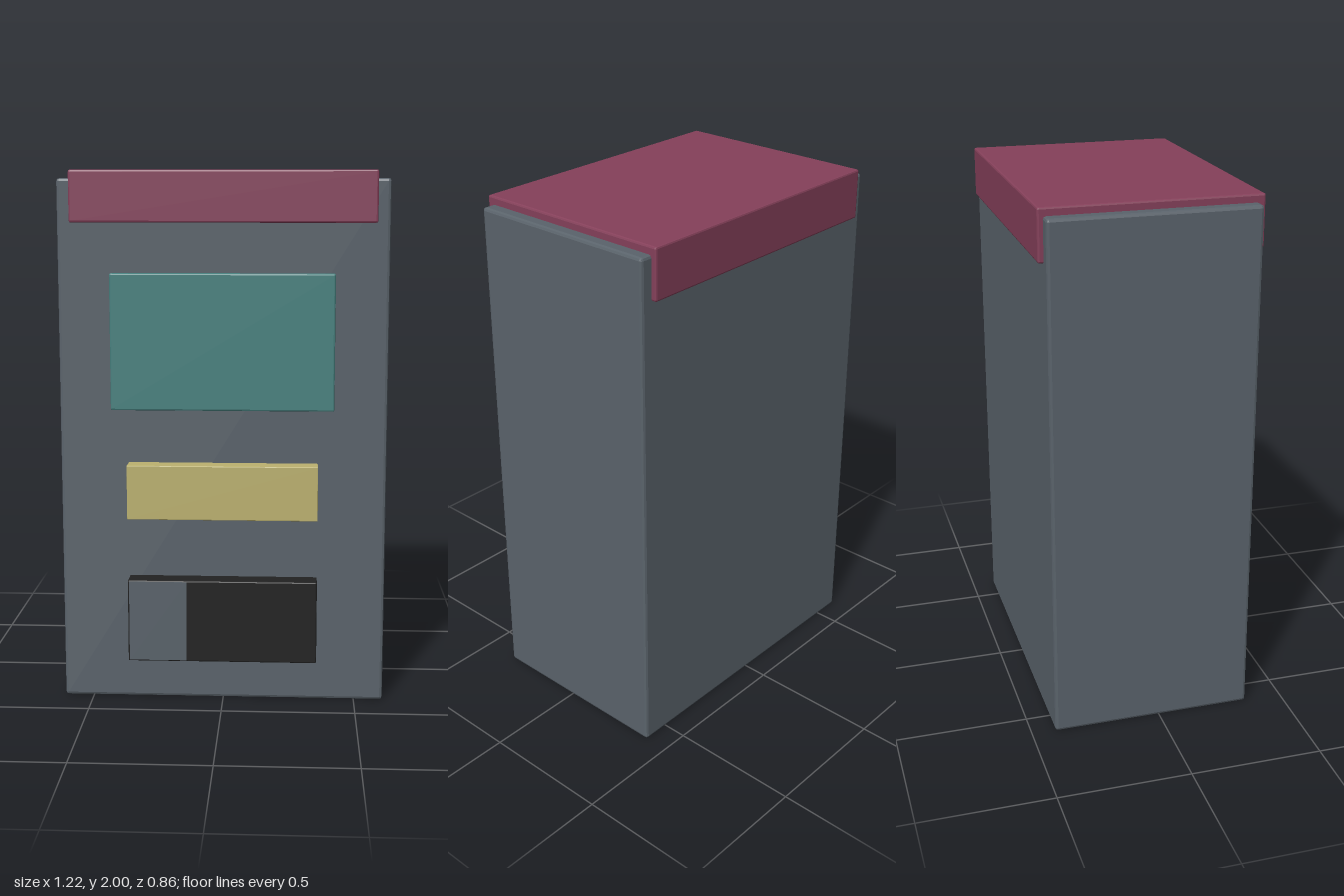
import * as THREE from 'three';
import { RoundedBoxGeometry } from 'three/addons/geometries/RoundedBoxGeometry.js';

function makeMaterial(name, color) {
  const material = new THREE.MeshStandardMaterial({ color });
  material.name = name;
  return material;
}

// Box with chamfered edges, given by its lower and upper corners
function chamferedBox(name, material, min, max, chamfer) {
  const size = max.map((v, i) => v - min[i]);
  const geometry = new RoundedBoxGeometry(...size, 1, chamfer);
  geometry.computeVertexNormals(); // flat facets on the chamfers
  const mesh = new THREE.Mesh(geometry, material);
  mesh.name = name;
  mesh.position.set(...min.map((v, i) => (v + max[i]) / 2));
  return mesh;
}

export function createModel() {
  const grey = makeMaterial('slate grey', 0x5a636b);
  const maroon = makeMaterial('maroon', 0x85405a);
  const teal = makeMaterial('teal', 0x46807e);
  const yellow = makeMaterial('pale yellow', 0xbcb270);
  const black = makeMaterial('black', 0x222222);

  const model = new THREE.Group();
  model.name = 'kiosk';

  // Cabinet and the cap that overhangs it front and back
  model.add(chamferedBox('cabinet', grey, [-0.61, 0, -0.41], [0.61, 1.97, 0.355], 0.011));
  model.add(chamferedBox('topCap', maroon, [-0.563, 1.81, -0.43], [0.563, 2, 0.376], 0.007));

  // Front fittings, set slightly into the cabinet
  model.add(chamferedBox('screen', teal, [-0.417, 1.12, 0.33], [0.413, 1.627, 0.381], 0.006));
  model.add(chamferedBox('controlPanel', yellow, [-0.355, 0.715, 0.3], [0.355, 0.92, 0.427], 0.003));
  model.add(chamferedBox('trayHousing', black, [-0.355, 0.167, 0.3], [0.355, 0.482, 0.43], 0.005));

  // Grey flap on the tray front
  const flap = new THREE.Mesh(new THREE.BoxGeometry(0.216, 0.305, 0.004), grey);
  flap.name = 'trayFlap';
  flap.position.set(-0.242, 0.3245, 0.4295);
  model.add(flap);

  return model;
}
